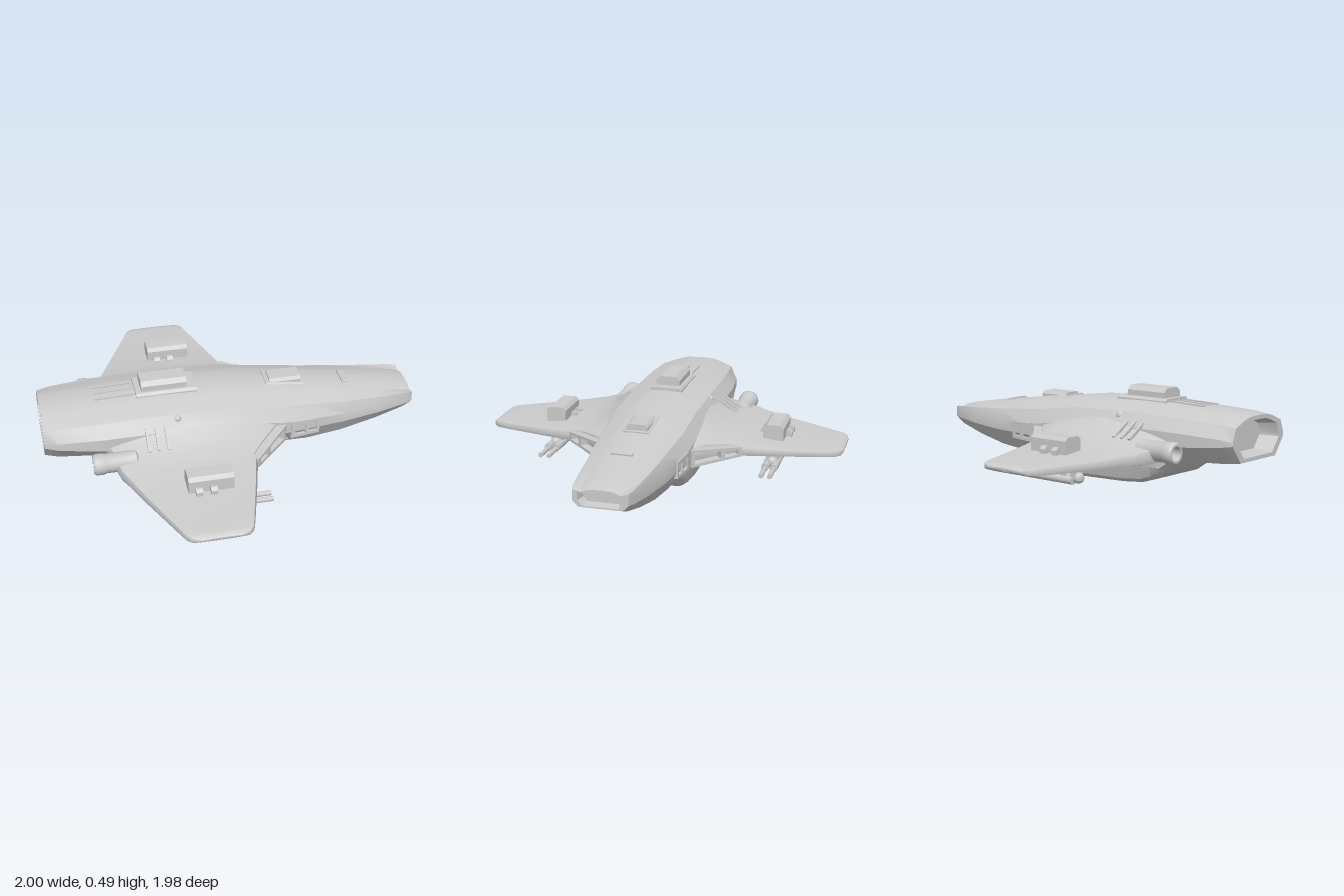
import * as THREE from 'three';
import { toCreasedNormals } from 'three/addons/utils/BufferGeometryUtils.js';

const mat = new THREE.MeshStandardMaterial({ color: 0xcccccc });

function add(parent, name, geo, x = 0, y = 0, z = 0) {
  const m = new THREE.Mesh(geo, mat);
  m.name = name;
  m.position.set(x, y, z);
  parent.add(m);
  return m;
}

// Closed skin through equal-length loops of [x, y, z], capped at both ends
function loft(loops, crease = 0.5) {
  const n = loops[0].length, pos = loops.flat(2), idx = [];
  for (let s = 0; s < loops.length - 1; s++)
    for (let i = 0; i < n; i++) {
      const a = s * n + i, b = s * n + (i + 1) % n;
      idx.push(a, b, b + n, a, b + n, a + n);
    }
  [0, loops.length - 1].forEach((s, end) => {
    const c = pos.length / 3;
    for (let k = 0; k < 3; k++) pos.push(loops[s].reduce((t, p) => t + p[k], 0) / n);
    for (let i = 0; i < n; i++) {
      const a = s * n + i, b = s * n + (i + 1) % n;
      if (end) idx.push(c, a, b); else idx.push(c, b, a);
    }
  });
  const g = new THREE.BufferGeometry();
  g.setAttribute('position', new THREE.Float32BufferAttribute(pos, 3));
  g.setIndex(idx);
  return toCreasedNormals(g, crease);
}

// Mirror a half outline of [z, y], running from top centre to bottom centre, at station x
function ring(x, half) {
  const other = half.slice(1, -1).reverse().map(([z, y]) => [-z, y]);
  return [...half, ...other].map(([z, y]) => [x, y, z]);
}

// Box along x with chamfered upper edges, standing on its base
function chamferBox(len, h, w, c) {
  const s = new THREE.Shape([[-w / 2, 0], [w / 2, 0], [w / 2, h - c], [w / 2 - c, h], [c - w / 2, h], [-w / 2, h - c]]
    .map(p => new THREE.Vector2(...p)));
  return new THREE.ExtrudeGeometry(s, { depth: len, bevelEnabled: false })
    .translate(0, 0, -len / 2).rotateY(Math.PI / 2);
}

const rod = (r, len, sides = 12) => new THREE.CylinderGeometry(r, r, len, sides).rotateZ(Math.PI / 2);

function pathWith(points, Type = THREE.Path) {
  return new Type(points.map(p => new THREE.Vector2(...p)));
}

function hullGeometry() {
  // x, top, bottom, waist high, waist low, top half width, waist half width, bottom half width
  const stations = [
    [-1, .40, .18, .29, .27, .13, .22, .15], [-.93, .41, .172, .30, .26, .13, .242, .17],
    [-.7, .42, .16, .31, .24, .13, .27, .19], [-.4, .43, .14, .31, .22, .13, .27, .2],
    [0, .42, .12, .3, .2, .13, .26, .2], [.25, .39, .095, .26, .19, .125, .25, .18],
    [.4, .372, .085, .25, .19, .12, .232, .17], [.6, .345, .1, .24, .19, .115, .208, .155],
    [.8, .318, .135, .24, .2, .11, .18, .135], [.96, .293, .175, .25, .215, .105, .153, .118],
    [1, .283, .19, .25, .22, .1, .138, .11]];
  const loops = stations.map(([x, t, b, wh, wl, wt, w, wb]) => ring(x, [
    [0, t], [wt * .6, t - .003], [wt, t - .018], [(wt + w) / 2 + .02, (t + wh) / 2 + .01],
    [w, wh], [w, wl], [wb, b], [0, b]]));
  const inset = (loop, k, x, mid) => loop.map(([, y, z]) => [x, mid + (y - mid) * k, z * k]);
  // recessed exhaust at the tail, recessed port at the nose
  const tail = loops[0], nose = loops[loops.length - 1];
  return loft([
    inset(tail, .72, -.9, .285), inset(tail, .82, -1, .285), ...loops,
    inset(nose, .83, 1, .236), inset(nose, .72, .95, .236)], 0.45);
}

function bellyGeometry() {
  const stations = [[-.64, .155, .15], [-.56, .08, .19], [-.5, .042, .2], [-.43, .02, .2], [-.3, .008, .2],
    [0, 0, .2], [.14, .008, .195], [.2, .022, .19], [.24, .05, .185], [.29, .1, .17]];
  return loft(stations.map(([x, b, w]) => ring(x, [
    [0, .22], [w + .045, .22], [w + .035, Math.max(.11, b + .02)], [w + .012, b + .02], [w - .015, b], [0, b]])));
}

function wingGeometry() {
  // z, trailing x, leading x, top, bottom, edge height, half edge thickness, fullness power
  const stations = [
    [.12, -.74, .22, .405, .14, .22, .035, .8], [.2, -.71, .23, .375, .14, .22, .035, .8],
    [.25, -.69, .22, .335, .14, .215, .035, .8], [.31, -.67, .165, .292, .14, .21, .035, .7],
    [.38, -.66, .1, .26, .142, .205, .03, .6], [.44, -.645, .055, .243, .145, .2, .026, .5],
    [.48, -.625, .056, .235, .147, .197, .022, .5], [.65, -.55, .012, .216, .15, .188, .016, .4],
    [.9, -.435, -.058, .2, .155, .18, .014, .4], [.955, -.41, -.075, .197, .157, .179, .013, .4],
    [.98, -.385, -.1, .193, .162, .178, .01, .4], [.99, -.35, -.135, .184, .172, .178, .003, .4]];
  const f = [.015, .05, .12, .22, .35, .5, .65, .78, .88, .95, .985];
  return loft(stations.map(([z, x0, x1, t, b, ym, e, p]) => {
    const at = (k, lim, s) => [x1 + (x0 - x1) * k,
      ym + s * e + (lim - ym - s * e) * Math.sin(Math.PI * k) ** p, z];
    return [[x1, ym, z], ...f.map(k => at(k, t, 1)), [x0, ym, z],
      ...f.slice().reverse().map(k => at(k, b, -1))];
  }), 0.8);
}

// Everything on the +z side; the other side is its mirror image
function createSide() {
  const side = new THREE.Group();
  side.name = 'wingAssembly';
  add(side, 'wing', wingGeometry());

  // slotted intake along the inner leading edge
  const shape = pathWith([[0, .17], [.3, .155], [.3, .25], [0, .222]], THREE.Shape);
  shape.holes.push(pathWith([[.02, .184], [.02, .21], [.1, .218], [.1, .18]]),
    pathWith([[.125, .18], [.125, .22], [.28, .234], [.28, .172]]));
  const intake = add(side, 'intakeFrame', new THREE.ExtrudeGeometry(shape, { depth: .05, bevelEnabled: false }), .025, 0, .445);
  intake.rotation.y = Math.atan2(.22, .2);

  // engine nozzle: hollow tube with a rim
  const nozzle = [[0, .07], [.034, .07], [.036, 0], [.047, 0], [.055, .012], [.055, .05], [.05, .06], [.05, .22], [0, .24]];
  const tube = new THREE.LatheGeometry(nozzle.map(p => new THREE.Vector2(...p)), 20).rotateZ(-Math.PI / 2);
  add(side, 'engineNozzle', toCreasedNormals(tube, 0.6), -.77, .228, .355).material = mat;

  // box on top of the wing with side lugs
  add(side, 'wingBox', chamferBox(.23, .11, .11, .018), -.225, .188, .615);
  for (const x of [-.29, -.215])
    for (const s of [-1, 1])
      add(side, 'wingBoxLug', chamferBox(.035, .055, .04, .015), x, .195, .615 + s * .066);

  // twin gun slung below
  add(side, 'gunPod', toCreasedNormals(new THREE.CapsuleGeometry(.028, .28, 4, 12).rotateZ(Math.PI / 2), 0.6), -.235, .1, .615);
  for (const z of [.59, .637]) {
    add(side, 'gunSleeve', rod(.021, .34), -.19, .088, z);
    add(side, 'gunBarrel', rod(.013, .3), -.05, .084, z);
  }
  for (let i = 0; i < 5; i++)
    add(side, 'gunMount', new THREE.BoxGeometry(.026, .06, .065), -.36 + i * .06, .137, .615);

  // slanted vents on the wing root, with a small stud ahead of them
  for (let i = 0; i < 3; i++) {
    const vent = add(side, 'rootVent', new THREE.BoxGeometry(.014, .016, .14), -.48 + i * .05, .302, .3);
    vent.rotation.x = 0.56;
  }
  add(side, 'rootStud', new THREE.SphereGeometry(.022, 12, 8), -.31, .355, .22);

  // framed port on the flank of the nose
  const port = pathWith([[-.08, -.05], [.08, -.045], [.08, .045], [-.08, .05]], THREE.Shape);
  port.holes.push(pathWith([[-.06, -.032], [-.06, .032], [0, .032], [0, -.032]]),
    pathWith([[.018, -.03], [.018, .03], [.065, .028], [.065, -.028]]));
  add(side, 'flankPort', new THREE.ExtrudeGeometry(port, { depth: .03, bevelEnabled: false }), .37, .205, .212)
    .rotation.y = 0.11;
  return side;
}

export function createModel() {
  const ship = new THREE.Group();
  ship.name = 'spaceship';
  add(ship, 'hull', hullGeometry());
  add(ship, 'belly', bellyGeometry());

  const left = createSide(), right = createSide();
  right.scale.z = -1;
  ship.add(left, right);

  // dorsal blocks and panels
  add(ship, 'dorsalTurret', chamferBox(.24, .075, .13, .022), -.35, .415, 0);
  add(ship, 'turretBase', chamferBox(.32, .03, .18, .012), -.34, .41, 0);
  add(ship, 'canopyBlock', chamferBox(.17, .05, .115, .015), .305, .36, 0);
  add(ship, 'canopyBase', chamferBox(.21, .02, .14, .008), .3, .369, 0).rotation.z = -0.12;
  add(ship, 'noseHatch', chamferBox(.035, .014, .11, .004), .64, .333, 0).rotation.z = -0.13;
  for (const z of [-.055, 0, .055])
    add(ship, 'dorsalStrip', new THREE.BoxGeometry(.21, .016, .012), -.61, .42, z).rotation.z = 0.03;
  return ship;
}
